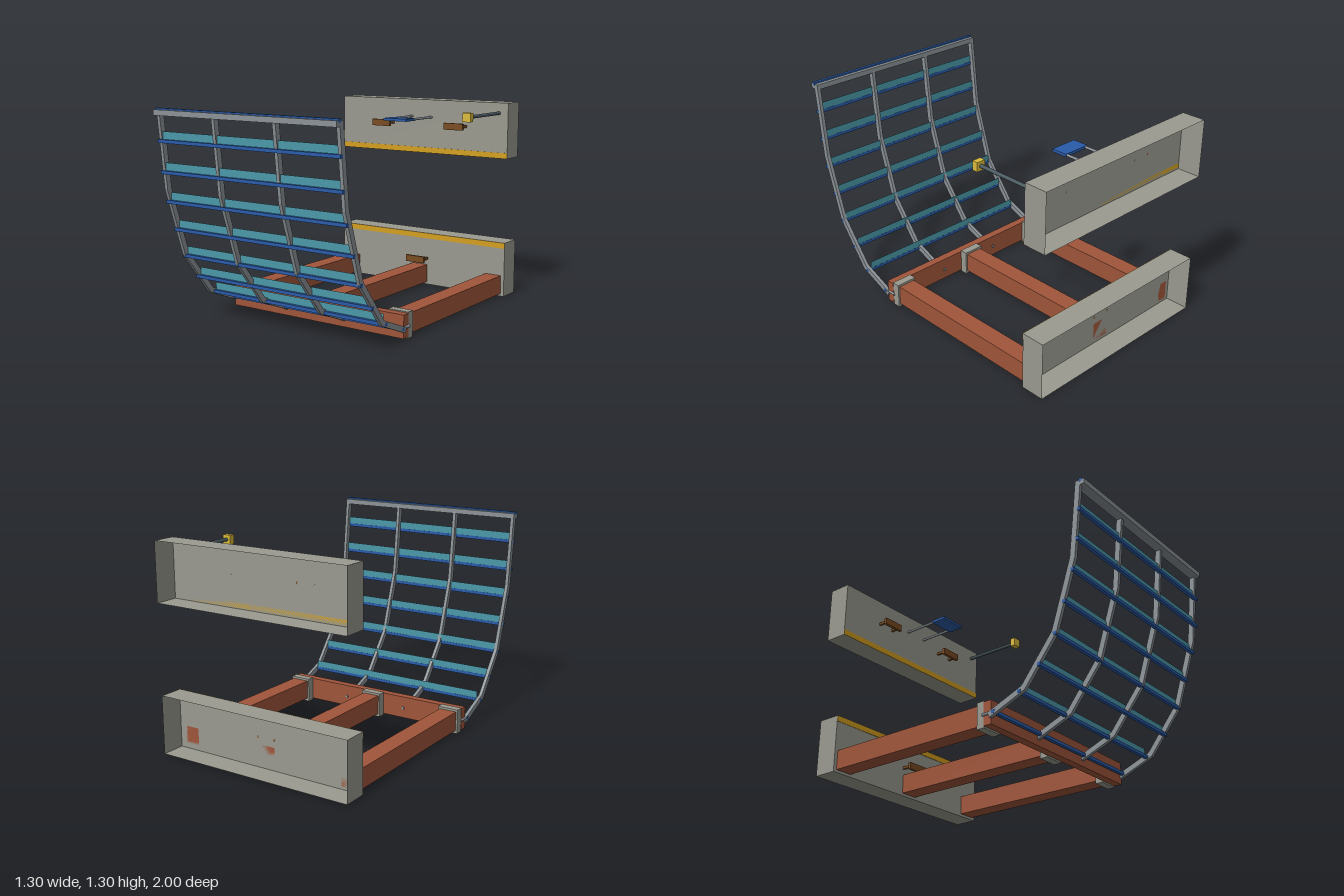
import * as THREE from 'three';

const paint = (color, side = THREE.FrontSide) => {
  const m = new THREE.MeshStandardMaterial({ side });
  m.color.set(color);
  return m;
};

export function createModel() {
  const model = new THREE.Group();
  const concrete = paint(0x9a9a90), shell = paint(0x9a9a90, THREE.DoubleSide);
  const timber = paint(0xa0553a), steel = paint(0x8b9296), blue = paint(0x2a5caa);
  const teal = paint(0x4a98a8, THREE.DoubleSide), yellow = paint(0xd4a020);
  const brown = paint(0x7a4c22), darkSteel = paint(0x4a5a60), gold = paint(0xdcbc3c);

  const add = (name, geometry, material, x, y, z, parent = model) => {
    const mesh = new THREE.Mesh(geometry, material);
    mesh.name = name;
    mesh.position.set(x, y, z);
    parent.add(mesh);
    return mesh;
  };
  // Box given by its limits on each axis
  const box = (name, mat, x0, x1, y0, y1, z0, z1, parent) =>
    add(name, new THREE.BoxGeometry(x1 - x0, y1 - y0, z1 - z0), mat,
      (x0 + x1) / 2, (y0 + y1) / 2, (z0 + z1) / 2, parent);
  // Round rod along z
  const rod = (name, mat, r, x, y, z0, z1, parent) =>
    add(name, new THREE.CylinderGeometry(r, r, z1 - z0, 12).rotateX(Math.PI / 2), mat,
      x, y, (z0 + z1) / 2, parent);

  // Two hollow blocks, open at the back, with a warning stripe on the facing edges
  for (const [name, y0, stripeY] of [['lowerBlock', 0.003, 0.326], ['upperBlock', 0.917, 0.917]]) {
    const geo = new THREE.BoxGeometry(1.294, 0.36, 0.15);
    geo.setIndex(Array.from(geo.index.array).slice(0, 30)); // drops the back face
    geo.clearGroups();
    add(name, geo, shell, 0, y0 + 0.18, -0.925);
    box(name + 'Stripe', yellow, -0.647, 0.647, stripeY, stripeY + 0.037, -0.85, -0.847);
  }

  // Floor beams with end collars, and the cross beam they carry
  for (const x of [-0.567, 0, 0.567]) {
    box('floorBeam', timber, x - 0.057, x + 0.057, 0.02, 0.142, -0.85, 0.27);
    box('beamCollar', concrete, x - 0.068, x + 0.068, 0, 0.156, 0.252, 0.302);
  }
  box('crossBeam', timber, -0.637, 0.637, 0.01, 0.15, 0.3, 0.352);

  // Curved ribs of straight square bars, as [z, y] points
  const path = [[0.345, 0.062], [0.574, 0.155], [0.78, 0.418], [0.909, 0.823], [0.957, 1.275]];
  for (const x of [-0.636, -0.217, 0.217, 0.636]) {
    const rib = new THREE.Group();
    rib.name = 'rib';
    for (let i = 0; i + 1 < path.length; i++) {
      const [z0, y0] = path[i], [z1, y1] = path[i + 1];
      const length = Math.hypot(z1 - z0, y1 - y0) + (i < 3 ? 0.01 : 0);
      const bar = add('ribBar', new THREE.BoxGeometry(0.022, 0.034, length), steel,
        x, (y0 + y1) / 2, (z0 + z1) / 2, rib);
      bar.rotation.x = -Math.atan2(y1 - y0, z1 - z0);
    }
    rod('ribBolt', steel, 0.009, x, 0.075, 0.292, 0.345, rib);
    model.add(rib);
  }
  box('topBar', steel, -0.647, 0.647, 1.259, 1.292, 0.94, 1);

  // Rails across the outside of the ribs, as [z, y]; the middle ones carry upright slats
  const rails = [[0.372, 0.073], [0.547, 0.142], [0.677, 0.262], [0.783, 0.409], [0.848, 0.578],
    [0.907, 0.751], [0.943, 0.928], [0.96, 1.11], [0.975, 1.291]];
  rails.forEach(([z, y], i) => {
    box('rail', blue, -0.648, 0.648, y - 0.01, y + 0.01, z - 0.01, z + 0.01);
    if (i > 0 && i < rails.length - 1)
      add('slat', new THREE.PlaneGeometry(1.25, 0.056), teal, 0, y + 0.028, z - 0.009);
  });

  // Pull handles on the block fronts
  for (const [x, y] of [[-0.285, 1.112], [0.285, 1.112], [0, 0.187]]) {
    const handle = new THREE.Group();
    handle.name = 'pullHandle';
    box('handleGrip', brown, x - 0.071, x + 0.071, y - 0.022, y + 0.022, -0.795, -0.776, handle);
    for (const s of [-1, 1])
      box('handlePost', brown, x + s * 0.057 - 0.007, x + s * 0.057 + 0.007,
        y - 0.008, y + 0.008, -0.85, -0.79, handle);
    model.add(handle);
  }

  // Small shelf plate on two rods
  box('shelfPlate', blue, -0.088, 0.088, 1.153, 1.17, -0.615, -0.513);
  for (const x of [-0.076, 0.076]) rod('shelfRod', steel, 0.008, x, 1.161, -0.85, -0.6);

  // Lever with a square knob
  rod('leverRod', darkSteel, 0.011, 0.582, 1.21, -0.85, -0.45);
  box('leverKnob', gold, 0.554, 0.61, 1.182, 1.238, -0.458, -0.421);

  return model;
}
